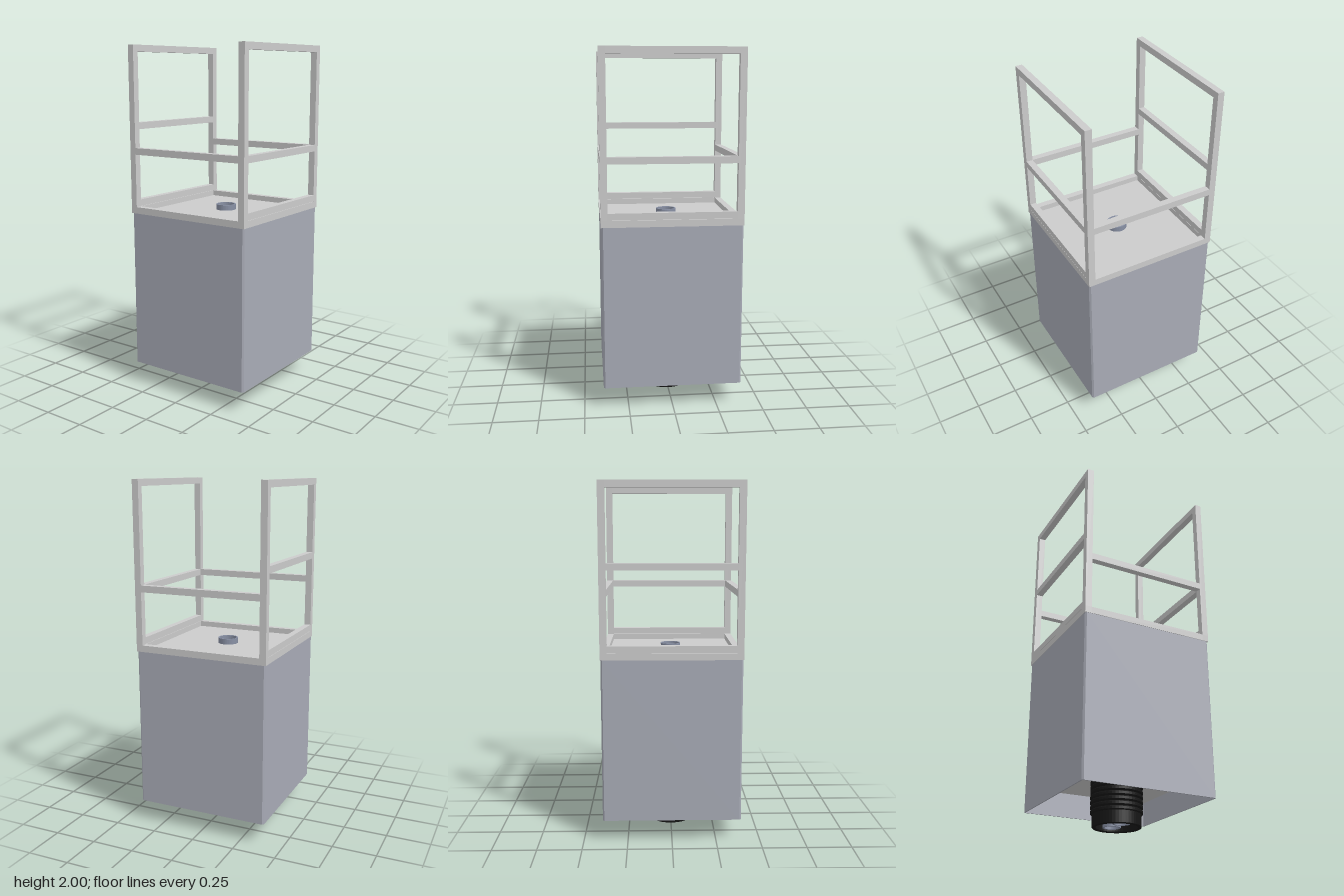
import * as THREE from 'three';

const grey = new THREE.MeshStandardMaterial({ color: 0xcccccc });
const panel = new THREE.MeshStandardMaterial({ color: 0xa8abb6 });
const black = new THREE.MeshStandardMaterial({ color: 0x161616, side: THREE.DoubleSide });
const steel = new THREE.MeshStandardMaterial({ color: 0x8890a4, side: THREE.DoubleSide });

const HALF = 0.394; // half width of the cage
const BAR = 0.038; // square bar section
const MID = HALF - BAR / 2;
const INNER = 2 * (HALF - BAR);

function add(parent, name, geometry, material, x = 0, y = 0, z = 0) {
  const mesh = new THREE.Mesh(geometry, material);
  mesh.name = name;
  mesh.position.set(x, y, z);
  parent.add(mesh);
  return mesh;
}

const box = (w, h, d) => new THREE.BoxGeometry(w, h, d);

// Flat-sided turned profile with crisp steps
function turned(points, segments = 48) {
  const parts = new THREE.LatheGeometry(points.map(([r, y]) => new THREE.Vector2(r, y)), segments).toNonIndexed();
  parts.computeVertexNormals();
  return parts;
}

// Square outline with small chamfered corners
function chamferedSquare(target, h, c) {
  target.moveTo(h - c, -h);
  [[h, -h + c], [h, h - c], [h - c, h], [-h + c, h], [-h, h - c], [-h, -h + c], [-h + c, -h]]
    .forEach(([x, y]) => target.lineTo(x, y));
  target.closePath();
  return target;
}

// Open-ended pipe standing on y = 0
function pipe(outer, inner, height) {
  return turned([[inner, 0], [outer, 0], [outer, height], [inner, height], [inner, 0]], 40);
}

export function createModel() {
  const model = new THREE.Group();
  model.name = 'cagedCabinet';

  // Cabinet: four thin walls, open underneath
  const outline = chamferedSquare(new THREE.Shape(), 0.391, 0.009);
  outline.holes.push(chamferedSquare(new THREE.Path(), 0.384, 0.004));
  const walls = new THREE.ExtrudeGeometry(outline, { depth: 0.92, bevelEnabled: false });
  walls.rotateX(-Math.PI / 2);
  add(model, 'cabinetWalls', walls, panel, 0, 0.122, 0);
  add(model, 'cabinetFloor', box(0.768, 0.02, 0.768), grey, 0, 0.272, 0);

  // Cage standing on the cabinet
  const cage = new THREE.Group();
  cage.name = 'cage';
  model.add(cage);
  add(cage, 'topPlate', box(INNER, 0.006, INNER), grey, 0, 1.045, 0);
  for (const s of [-1, 1]) {
    add(cage, 'baseSideBeam', box(BAR, BAR, 2 * HALF), grey, s * MID, 1.061, 0);
    add(cage, 'baseCrossBeam', box(INNER, BAR, BAR), grey, 0, 1.061, s * MID);
    add(cage, 'lowerSideRail', box(BAR, BAR, INNER), grey, s * MID, 1.101, 0);
    add(cage, 'topSideRail', box(BAR, BAR, INNER), grey, s * MID, 2 - BAR / 2, 0);
    add(cage, 'crossRail', box(INNER, BAR, BAR), grey, 0, 1.404, s * MID);
    for (const t of [-1, 1]) add(cage, 'post', box(BAR, 0.92, BAR), grey, s * MID, 1.54, t * MID);
  }
  // Middle side rails sit at different heights
  add(cage, 'leftMiddleRail', box(BAR, BAR, INNER), grey, MID, 1.404, 0);
  add(cage, 'rightMiddleRail', box(BAR, BAR, INNER), grey, -MID, 1.547, 0);

  // Short pipe stub in the middle of the top plate
  add(model, 'pipeStub', pipe(0.058, 0.05, 0.034), steel, 0, 1.046, 0);

  // Ribbed connector hanging below the floor, hollow at its lower end
  const profile = [[0, 0.045], [0.115, 0.045], [0.115, 0.005], [0.12, 0], [0.132, 0], [0.136, 0.004], [0.136, 0.07]];
  for (let y = 0.07; y < 0.25; y += 0.027) {
    profile.push([0.14, y], [0.145, y + 0.005], [0.145, y + 0.017], [0.14, y + 0.022], [0.136, y + 0.022]);
  }
  profile.push([0.136, 0.264]);
  add(model, 'connector', turned(profile), black);

  // Two sockets inside the connector
  for (const s of [-1, 1]) {
    add(model, 'socket', pipe(0.05, 0.04, 0.035), steel, 0, 0.012, s * 0.058);
    const end = new THREE.CircleGeometry(0.04, 32).rotateX(Math.PI / 2);
    add(model, 'socketEnd', end, steel, 0, 0.04, s * 0.058);
  }
  return model;
}
